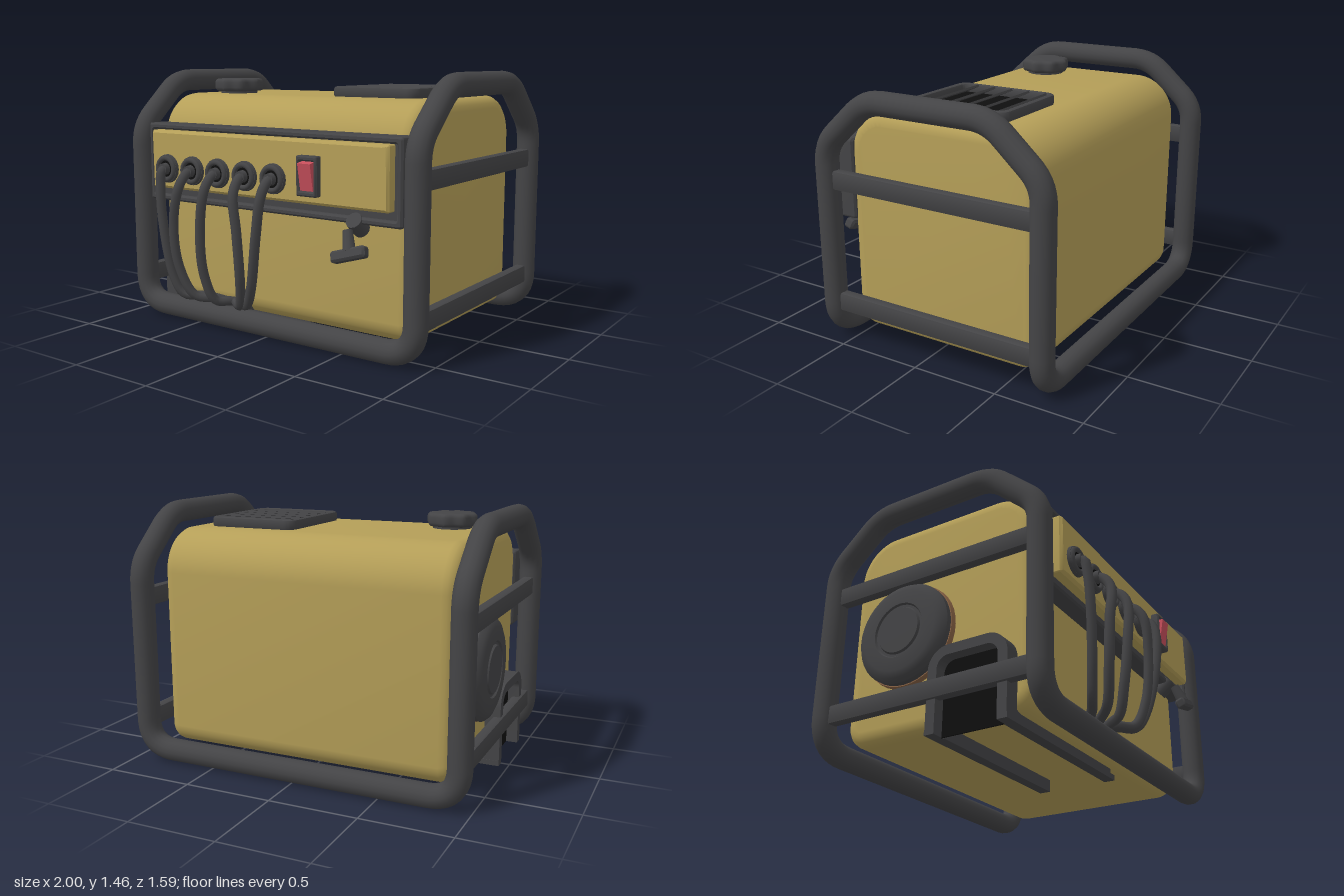
import * as THREE from 'three';
import { toCreasedNormals } from 'three/addons/utils/BufferGeometryUtils.js';

const mat = (name, color) => Object.assign(new THREE.MeshStandardMaterial({ color }), { name });
const V = (x, y, z) => new THREE.Vector3(x, y, z);

// Rounded rectangle centred on (cx, cy); top and bottom corners may differ
function roundRect(cx, cy, w, h, rt, rb = rt, Type = THREE.Shape) {
  const s = new Type(), l = cx - w / 2, r = cx + w / 2, b = cy - h / 2, t = cy + h / 2;
  s.moveTo(l + rb, b).lineTo(r - rb, b);
  if (rb) s.absarc(r - rb, b + rb, rb, -Math.PI / 2, 0);
  s.lineTo(r, t - rt);
  if (rt) s.absarc(r - rt, t - rt, rt, 0, Math.PI / 2);
  s.lineTo(l + rt, t);
  if (rt) s.absarc(l + rt, t - rt, rt, Math.PI / 2, Math.PI);
  s.lineTo(l, b + rb);
  if (rb) s.absarc(l + rb, b + rb, rb, Math.PI, Math.PI * 1.5);
  return s;
}

// Extrusion from z = 0 to depth whose bevel stays inside the outline
function slab(shape, depth, bevel = 0.015, segs = 2, curveSegments = 6) {
  const g = new THREE.ExtrudeGeometry(shape, {
    depth: depth - 2 * bevel, bevelEnabled: bevel > 0, bevelSize: bevel, bevelThickness: bevel,
    bevelOffset: -bevel, bevelSegments: segs, curveSegments,
  });
  g.translate(0, 0, bevel);
  return toCreasedNormals(g, 0.6);
}

// Closed path through corner points, each corner rounded by its own radius
function roundedLoop(corners) {
  const path = new THREE.CurvePath(), n = corners.length;
  const cut = corners.map(([p, r], i) => {
    const prev = corners[(i + n - 1) % n][0], next = corners[(i + 1) % n][0];
    const toward = (q) => p.clone().add(q.clone().sub(p).setLength(r));
    return [toward(prev), p, toward(next)];
  });
  cut.forEach((c, i) => {
    path.add(new THREE.QuadraticBezierCurve3(...c));
    path.add(new THREE.LineCurve3(c[2], cut[(i + 1) % n][0]));
  });
  return path;
}

export function createModel() {
  const model = new THREE.Group();
  model.name = 'generator';
  const dark = mat('darkGrey', 0x444446), tan = mat('ochre', 0xb59f58);
  const black = mat('black', 0x0e0e0e), red = mat('red', 0xc84f5c), brown = mat('brown', 0x8a6446);

  const add = (name, geo, m, x = 0, y = 0, z = 0, parent = model) => {
    const mesh = new THREE.Mesh(geo, m);
    mesh.name = name;
    mesh.position.set(x, y, z);
    parent.add(mesh);
    return mesh;
  };
  const box = (w, h, d) => new THREE.BoxGeometry(w, h, d);
  const disc = (r1, r2, h, n = 20) => new THREE.CylinderGeometry(r1, r2, h, n).rotateX(Math.PI / 2);

  // Housing: side profile extruded across the width
  const body = slab(roundRect(0.0725, 0.6925, 1.165, 1.245, 0.24, 0.12), 1.715, 0.07, 4, 10);
  add('housing', body.rotateY(Math.PI / 2), tan, -0.86);

  // Tubular frame: one closed loop over both sides and under front and back
  const X = 0.935, F = 0.59, B = -0.735, side = [
    [F, 0.065, 0.17], [F, 1.125, 0.1], [0.295, 1.39, 0.1], [-0.44, 1.39, 0.1], [B, 1.125, 0.1], [B, 0.065, 0.17],
  ];
  const loop = roundedLoop([
    ...side.map(([z, y, r]) => [V(X, y, z), r]),
    ...[...side].reverse().map(([z, y, r]) => [V(-X, y, z), r]),
  ]);
  add('tubeFrame', new THREE.TubeGeometry(loop, 360, 0.065, 14, true), dark);

  // Side rails between the posts
  for (const x of [-X, X]) for (const y of [0.235, 0.94]) {
    add('sideRail', slab(roundRect(0, 0, 0.06, 0.105, 0.012), 1.3, 0, 1, 1), dark, x, y, -0.72);
  }

  // Control panel: dark surround with a raised face plate
  const surround = roundRect(0, 0, 1.725, 0.45, 0.015);
  surround.holes.push(roundRect(0, 0, 1.66, 0.38, 0.01, 0.01, THREE.Path));
  add('panelSurround', slab(surround, 0.13, 0.01, 1), dark, -0.003, 0.925, 0.48);
  add('panelBack', box(1.7, 0.42, 0.1), dark, -0.003, 0.925, 0.53);
  add('panelFace', slab(roundRect(0, 0, 1.61, 0.335, 0.01), 0.1, 0.015, 1), tan, -0.005, 0.945, 0.545);

  // Sockets, plugs and hanging cables
  const cables = [
    [-0.68, [-0.66, 0.6, 0.72], [-0.61, 0.27, 0.69], [-0.56, 0.175, 0.66], [-0.45, 0.165, 0.6], -0.36],
    [-0.485, [-0.535, 0.6, 0.76], [-0.52, 0.36, 0.74], [-0.45, 0.19, 0.69], [-0.36, 0.165, 0.61], -0.3],
    [-0.295, [-0.335, 0.55, 0.76], [-0.335, 0.32, 0.73], [-0.3, 0.18, 0.68], [-0.25, 0.165, 0.6], -0.22],
    [-0.1, [-0.07, 0.6, 0.76], [-0.075, 0.32, 0.73], [-0.12, 0.18, 0.68], [-0.22, 0.165, 0.6], -0.26],
    [0.095, [0.055, 0.6, 0.75], [-0.015, 0.3, 0.71], [-0.08, 0.185, 0.67], [-0.19, 0.165, 0.6], -0.24],
  ];
  for (const [x, a, b, c, d, end] of cables) {
    const socket = new THREE.Group();
    socket.name = 'socket';
    socket.position.set(x, 0.895, 0.645);
    model.add(socket);
    add('socketBase', disc(0.08, 0.083, 0.02), dark, 0, 0, 0.008, socket);
    add('socketRim', new THREE.TorusGeometry(0.062, 0.016, 8, 20), dark, 0, 0, 0.018, socket);
    add('socketHole', disc(0.047, 0.047, 0.006), black, 0, 0, 0.018, socket);
    add('plug', disc(0.032, 0.036, 0.04, 12), dark, 0, 0, 0.03, socket);
    const path = new THREE.CatmullRomCurve3([
      V(x, 0.895, 0.65), V(x, 0.885, 0.7), V(x + (a[0] - x) * 0.2, 0.81, a[2] - 0.005),
      V(...a), V(...b), V(...c), V(...d), V(end, 0.12, 0.51), V(end, 0.075, 0.48),
    ]);
    add('cable', new THREE.TubeGeometry(path, 48, 0.027, 8), dark);
  }

  // Rocker switch
  const bezel = roundRect(0, 0, 0.13, 0.21, 0.01);
  bezel.holes.push(roundRect(0, 0, 0.088, 0.155, 0.002, 0.002, THREE.Path));
  add('switchBezel', slab(bezel, 0.05, 0.008, 1), dark, 0.34, 0.93, 0.642);
  add('switchWell', box(0.1, 0.17, 0.006), black, 0.34, 0.93, 0.65);
  add('switchRocker', box(0.08, 0.145, 0.045), red, 0.34, 0.93, 0.675).rotation.x = 0.18;

  // Pull handle
  const handle = new THREE.Group();
  handle.name = 'pullHandle';
  handle.position.set(0.607, 0.56, 0.69);
  handle.rotation.set(-0.35, 0, 0.3);
  model.add(handle);
  add('handleGrip', slab(roundRect(0, 0, 0.2, 0.06, 0.015), 0.06, 0.012, 1), dark, 0, 0, -0.03, handle);
  add('handleStem', new THREE.CylinderGeometry(0.026, 0.035, 0.11, 10), dark, 0, 0.07, 0, handle);
  add('handleSocket', new THREE.CylinderGeometry(0.045, 0.045, 0.1, 12), dark, 0.585, 0.69, 0.58).rotation.x = 0.9;

  // Fuel cap with a scalloped rim
  const scallop = new THREE.Shape(Array.from({ length: 64 }, (_, i) => {
    const t = (i / 64) * Math.PI * 2, r = 0.138 + 0.008 * Math.cos(8 * t);
    return new THREE.Vector2(r * Math.cos(t), r * Math.sin(t));
  }));
  add('fuelCap', slab(scallop, 0.075, 0.022, 3).rotateX(-Math.PI / 2), dark, -0.585, 1.327, 0.12);
  add('fuelNeck', new THREE.CylinderGeometry(0.11, 0.11, 0.04, 24), dark, -0.585, 1.32, 0.12);

  // Roof vent with louvres leaning back
  const vent = new THREE.Group();
  vent.name = 'roofVent';
  vent.position.set(0.44, 1.31, -0.075);
  model.add(vent);
  const rim = roundRect(0, 0, 0.54, 0.62, 0.06);
  rim.holes.push(roundRect(0, 0, 0.46, 0.54, 0.03, 0.03, THREE.Path));
  add('ventRim', slab(rim, 0.06, 0.015, 2).rotateX(-Math.PI / 2), dark, 0, 0, 0, vent);
  add('ventShadow', box(0.48, 0.008, 0.56), black, 0, 0.01, 0, vent);
  for (let i = 0; i < 5; i++) {
    add('louvre', box(0.465, 0.012, 0.1), dark, 0, 0.036, -0.215 + i * 0.109, vent).rotation.x = 0.42;
  }

  // Round recoil starter cover on the model's right side
  const cover = new THREE.Group();
  cover.name = 'starterCover';
  cover.position.set(-0.855, 0.62, -0.25);
  cover.rotation.z = Math.PI / 2;
  model.add(cover);
  add('coverBase', new THREE.CylinderGeometry(0.29, 0.295, 0.04, 40), brown, 0, 0.015, 0, cover);
  const profile = [[0.285, 0.03], [0.285, 0.065], [0.265, 0.09], [0.23, 0.105], [0.155, 0.108],
    [0.148, 0.098], [0.135, 0.098], [0.128, 0.11], [0, 0.112]];
  const dome = new THREE.LatheGeometry(profile.map(([r, y]) => new THREE.Vector2(r, y)), 40);
  add('coverDome', toCreasedNormals(dome, 0.5), dark, 0, 0, 0, cover);

  // Exhaust tunnel: an arch running in under the housing
  const arch = (w, h, t, r) => {
    const s = roundRect(-0.185, h / 2, w, h, r, 0), i = w / 2 - t;
    const pts = roundRect(-0.185, (h - t) / 2, i * 2, h - t, r - t, 0).getPoints(6);
    const outer = s.getPoints(6);
    // join the outer and inner outlines into one open-bottomed arch
    const clean = (p) => p.filter((q, k) => k === 0 || q.distanceTo(p[k - 1]) > 1e-5)
      .filter((q, k, a) => k === 0 || q.distanceTo(a[0]) > 1e-5);
    const a = clean(outer), b = clean(pts);
    return new THREE.Shape([...a.slice(1), a[0], b[0], ...b.slice(1).reverse()]);
  };
  add('exhaustArch', slab(arch(0.47, 0.46, 0.055, 0.12), 0.09, 0).rotateY(Math.PI / 2), dark, -0.95);
  add('exhaustTunnel', slab(arch(0.43, 0.44, 0.04, 0.1), 1.02, 0).rotateY(Math.PI / 2), dark, -0.87);
  add('exhaustOpening', box(0.008, 0.41, 0.37), black, -0.88, 0.205, 0.185);
  for (const z of [0.405, -0.035]) add('skidRail', box(1.1, 0.03, 0.035), dark, -0.4, 0.015, z);

  return model;
}
